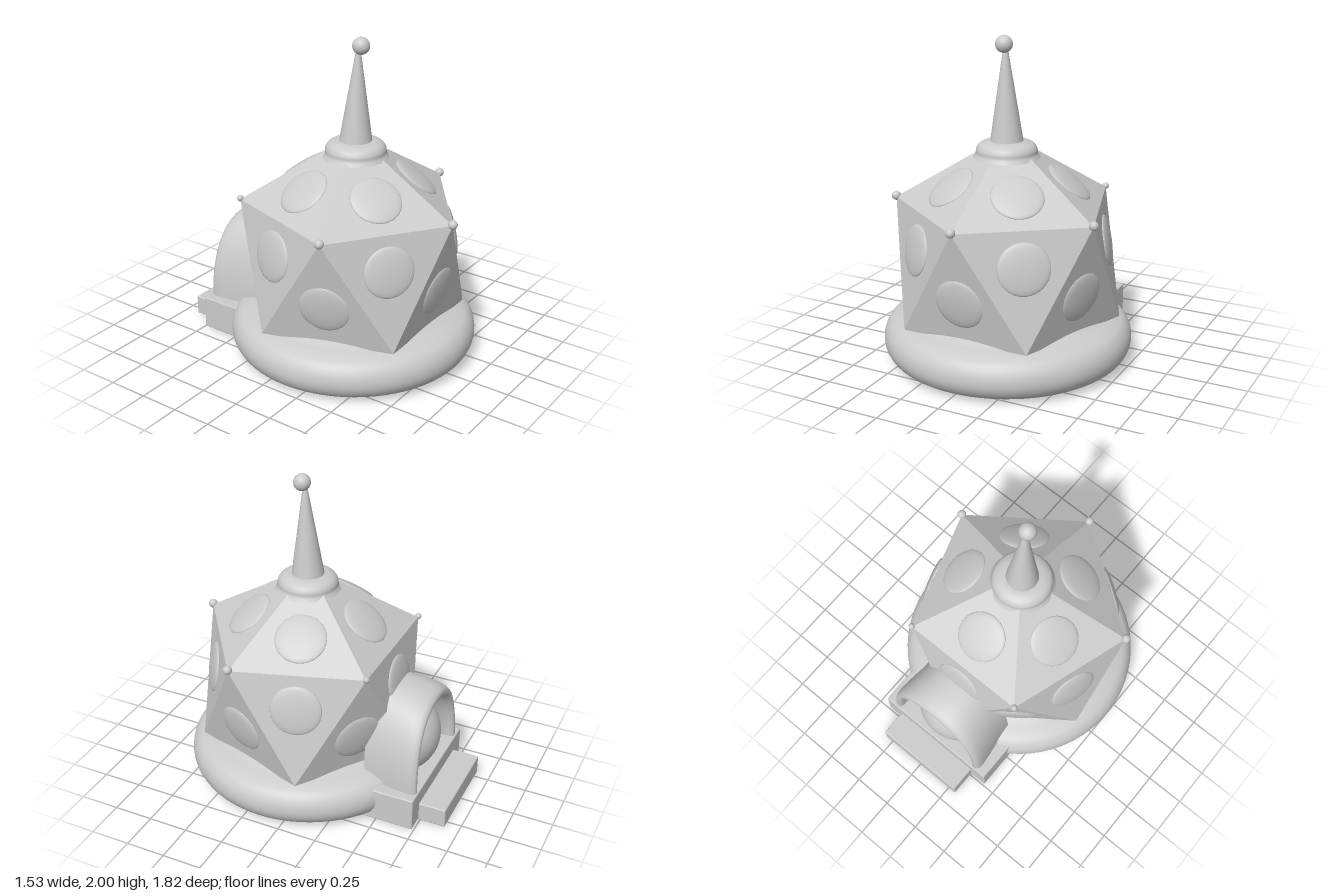
import * as THREE from 'three';
import { RoundedBoxGeometry } from 'three/addons/geometries/RoundedBoxGeometry.js';

const CZ = 0.14; // z of the tower axis
const grey = new THREE.MeshStandardMaterial({ color: 0xcccccc });
const greyFlat = new THREE.MeshStandardMaterial({ color: 0xcccccc, flatShading: true });
const greyDouble = new THREE.MeshStandardMaterial({ color: 0xcccccc, side: THREE.DoubleSide });

function add(parent, name, geometry, x = 0, y = 0, z = 0, material = grey) {
  const mesh = new THREE.Mesh(geometry, material);
  mesh.name = name;
  mesh.position.set(x, y, z);
  parent.add(mesh);
  return mesh;
}

// Lathe from a smooth curve through [radius, y] points
function lathe(points, samples = 50) {
  const curve = new THREE.CatmullRomCurve3(points.map(([r, y]) => new THREE.Vector3(r, y, 0)), false, 'centripetal');
  const profile = curve.getPoints(samples).map(p => new THREE.Vector2(Math.max(p.x, 0), p.y));
  return new THREE.LatheGeometry(profile, 72);
}

// Icosahedron faces above the base, as corner triples
function towerFaces() {
  const corner = (i, half, y) => {
    const a = (i + half) * Math.PI * 2 / 5;
    return new THREE.Vector3(0.69 * Math.sin(a), y, CZ + 0.69 * Math.cos(a));
  };
  const apex = new THREE.Vector3(0, 1.405, CZ);
  const upper = i => corner(i, 0, 0.985);
  const lower = i => corner(i, 0.5, 0.285);
  const faces = [];
  for (let i = 0; i < 5; i++) {
    faces.push([apex, upper(i), upper(i + 1)]);
    faces.push([upper(i), lower(i), upper(i + 1)]);
    faces.push([lower(i), lower(i + 1), upper(i + 1)]);
  }
  return faces;
}

// Arched hood lofted through [z, halfWidth, top] sections
function hoodGeometry() {
  const sections = [
    [-0.38, 0.33, 0.79], [-0.48, 0.335, 0.78], [-0.58, 0.35, 0.768], [-0.65, 0.36, 0.75],
    [-0.69, 0.36, 0.735], [-0.712, 0.35, 0.72], [-0.72, 0.335, 0.70], [-0.715, 0.315, 0.68],
    [-0.69, 0.305, 0.665], [-0.58, 0.30, 0.66], [-0.57, 0, 0.2],
  ];
  const n = 40, positions = [], index = [];
  sections.forEach(([z, w, top], s) => {
    for (let i = 0; i <= n; i++) {
      const t = Math.PI * i / n, c = Math.cos(t), h = Math.max(Math.sin(t), 0) ** 0.85;
      // the mouth leans outward towards its foot
      const lean = s > 2 && s < 9 ? 0.012 * (1 - h) : 0;
      positions.push(w * Math.sign(c) * Math.abs(c) ** 0.85, 0.2 + (top - 0.2) * h, z - lean);
      if (s > 0 && i < n) {
        const a = (s - 1) * (n + 1) + i, b = a + n + 1;
        index.push(a, a + 1, b, b, a + 1, b + 1);
      }
    }
  });
  const g = new THREE.BufferGeometry();
  g.setAttribute('position', new THREE.Float32BufferAttribute(positions, 3));
  g.setIndex(index);
  g.computeVertexNormals();
  return g;
}

export function createModel() {
  const model = new THREE.Group();
  model.name = 'domedHut';

  // Cushion-like round base
  add(model, 'base', lathe([
    [0, 0.008], [0.35, 0.008], [0.66, 0.012], [0.725, 0.04], [0.758, 0.09], [0.766, 0.14],
    [0.755, 0.195], [0.72, 0.245], [0.66, 0.275], [0.61, 0.29], [0.56, 0.31], [0.48, 0.34],
  ]), 0, 0, CZ);

  // Faceted tower
  const faces = towerFaces();
  const tower = new THREE.BufferGeometry().setFromPoints(faces.flat());
  tower.computeVertexNormals();
  add(model, 'tower', tower, 0, 0, 0, greyFlat);

  // Shallow domed window on every facet
  const windows = new THREE.Group();
  windows.name = 'windows';
  model.add(windows);
  const cap = new THREE.SphereGeometry(0.155, 36, 10, 0, Math.PI * 2, 0, Math.PI / 2);
  cap.scale(1, 0.16, 1);
  const up = new THREE.Vector3(0, 1, 0);
  faces.forEach(([a, b, c], i) => {
    const normal = new THREE.Triangle(a, b, c).getNormal(new THREE.Vector3());
    const centre = a.clone().add(b).add(c).divideScalar(3);
    if (i % 3) centre.y += 0.02;
    add(windows, 'window', cap, centre.x, centre.y, centre.z).quaternion.setFromUnitVectors(up, normal);
  });

  // Knobs on the eave corners
  for (let i = 0; i < 5; i++) {
    const a = i * Math.PI * 2 / 5;
    const r = i === 2 || i === 3 ? 0.02 : 0.028;
    add(model, 'eaveKnob', new THREE.SphereGeometry(r, 16, 12), 0.69 * Math.sin(a), 0.992, CZ + 0.69 * Math.cos(a));
  }

  // Collar, spire and ball on the roof
  add(model, 'collar', lathe([
    [0.2, 1.27], [0.186, 1.295], [0.183, 1.32], [0.168, 1.345], [0.135, 1.363], [0.1, 1.37], [0, 1.372],
  ], 30), 0, 0, CZ + 0.01);
  const spire = add(model, 'spire', new THREE.CylinderGeometry(0.014, 0.1, 0.56, 40), 0, 1.64, 0.156);
  spire.rotation.x = 0.025;
  add(model, 'spireBall', new THREE.SphereGeometry(0.052, 28, 20), 0, 1.948, 0.182);

  // Entrance at the back: hood, bulging door, platform and step
  add(model, 'entranceHood', hoodGeometry(), 0, 0, 0, greyDouble);
  add(model, 'door', new THREE.SphereGeometry(0.265, 40, 28), 0, 0.4, -0.47);
  add(model, 'platform', new RoundedBoxGeometry(0.84, 0.212, 0.44, 2, 0.008), 0, 0.114, -0.52);
  add(model, 'step', new RoundedBoxGeometry(0.61, 0.125, 0.3, 2, 0.008), 0, 0.0625, -0.76);

  return model;
}
